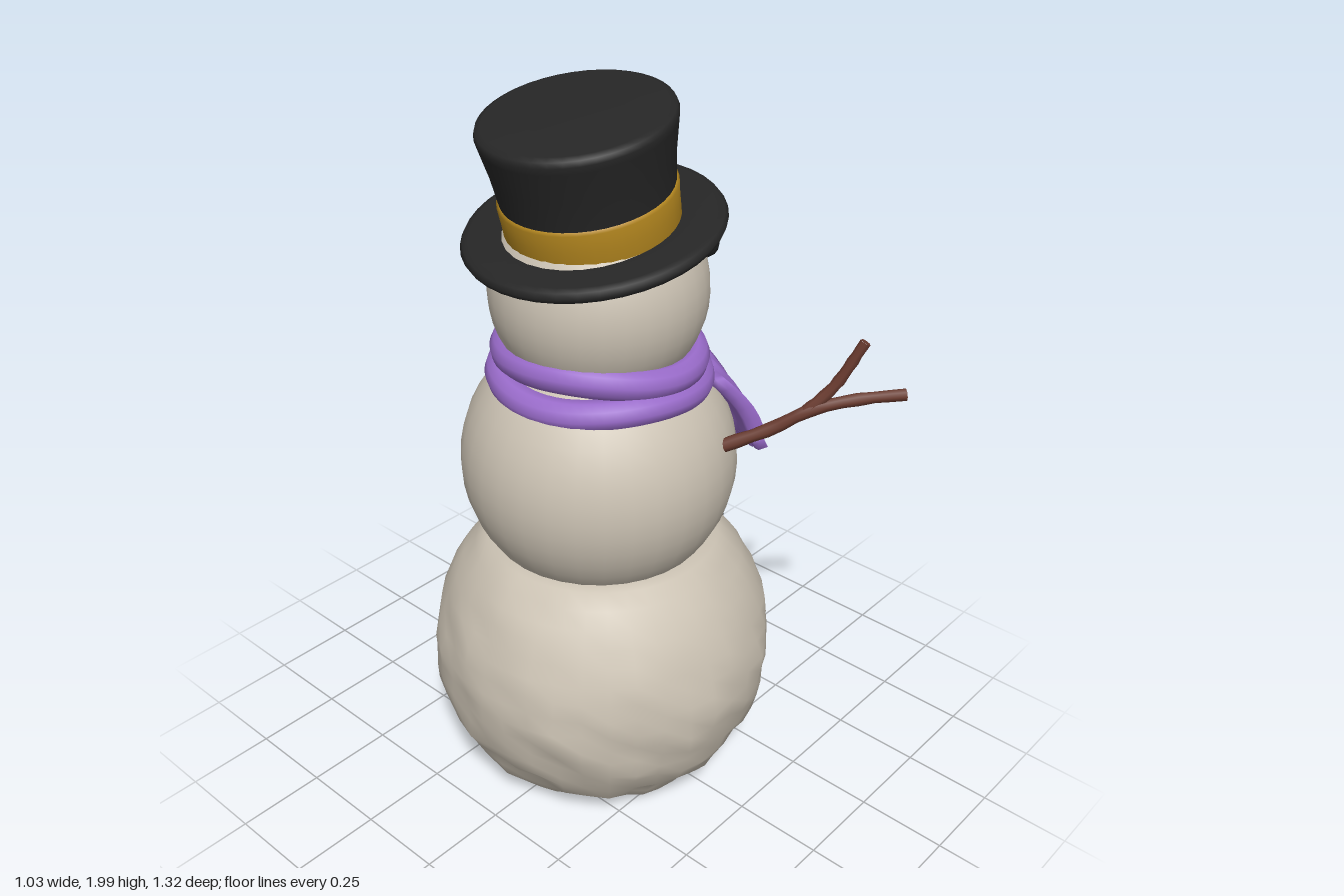
import * as THREE from 'three';
import { mergeVertices } from 'three/addons/utils/BufferGeometryUtils.js';

const V = (x, y, z) => new THREE.Vector3(x, y, z);
const mat = (name, color, side = THREE.FrontSide) => {
  const m = new THREE.MeshStandardMaterial({ color, side });
  m.name = name;
  return m;
};

export function createModel() {
  const model = new THREE.Group();
  model.name = 'snowman';
  const snow = mat('snow', 0xcbc2b3);
  const black = mat('hatFelt', 0x262626);
  const coal = mat('coal', 0x222323);
  const gold = mat('goldBand', 0xb88a20, THREE.DoubleSide);
  const purple = mat('scarfWool', 0x9a6ccb);
  const orange = mat('carrot', 0xe8711f);
  const bark = mat('bark', 0x693a2e);

  const add = (name, geometry, material, parent = model) => {
    const mesh = new THREE.Mesh(geometry, material);
    mesh.name = name;
    parent.add(mesh);
    return mesh;
  };

  // Apply a rule to every vertex, weld the seams and smooth the result
  const reshape = (geometry, rule) => {
    geometry.deleteAttribute('uv');
    geometry.deleteAttribute('normal');
    const g = mergeVertices(geometry, 1e-4);
    const p = g.attributes.position;
    const v = V(0, 0, 0);
    for (let i = 0; i < p.count; i++) {
      v.fromBufferAttribute(p, i);
      rule(v);
      p.setXYZ(i, v.x, v.y, v.z);
    }
    g.computeVertexNormals();
    return g;
  };

  // Snowballs: the lowest is lumpy and pressed flat above and below
  const lump = (v) =>
    Math.sin(v.x * 23 + 2 * Math.sin(v.y * 17)) * Math.sin(v.y * 27 + v.z * 9) * 0.6 +
    Math.sin(v.z * 31 + v.x * 14 + 1) * Math.sin(v.y * 21 - v.x * 19) * 0.4;
  const base = reshape(new THREE.SphereGeometry(0.483, 40, 30), (v) => {
    const rough = 0.006 + 0.012 * THREE.MathUtils.smoothstep(-v.y, -0.35, 0.2);
    v.multiplyScalar(1 + (rough * lump(v)) / 0.483);
    v.y = THREE.MathUtils.clamp(v.y, -0.395, 0.365);
  });
  add('bottomSnowball', base, snow).position.set(-0.03, 0.395, -0.015);
  add('middleSnowball', new THREE.SphereGeometry(0.375, 32, 24), snow).position.set(-0.035, 0.99, -0.02);
  add('head', new THREE.SphereGeometry(0.285, 32, 24), snow).position.set(-0.033, 1.48, -0.02);

  // Tilted top hat
  const hat = new THREE.Group();
  hat.name = 'hat';
  hat.position.set(-0.05, 1.645, -0.02);
  hat.rotation.z = 0.2;
  model.add(hat);
  const lathe = (points, sides) => new THREE.LatheGeometry(points.map(([x, y]) => new THREE.Vector2(x, y)), sides);
  add('hatBrim', lathe([[0, -0.018], [0.2, -0.02], [0.31, -0.018], [0.33, -0.01], [0.336, 0.003],
    [0.328, 0.016], [0.31, 0.02], [0.2, 0.018], [0, 0.018]], 40), black, hat);
  add('hatCrown', lathe([[0.214, 0], [0.215, 0.05], [0.219, 0.11], [0.228, 0.19], [0.243, 0.272],
    [0.246, 0.29], [0.241, 0.303], [0.225, 0.309], [0.12, 0.311], [0, 0.311]], 40), black, hat);
  add('hatBand', lathe([[0.217, 0.012], [0.222, 0.018], [0.223, 0.06], [0.226, 0.105], [0.219, 0.112]], 40), gold, hat);

  // Eyes
  for (const z of [0.108, -0.128]) {
    const eye = add('eye', new THREE.SphereGeometry(0.042, 10, 8), coal);
    eye.position.set(0.232, 1.557, z);
    eye.scale.x = 0.9;
  }

  // Carrot nose with a gentle upward bend
  const carrot = lathe([[0, -0.06], [0.034, -0.05], [0.037, 0], [0.034, 0.06], [0.029, 0.11],
    [0.022, 0.16], [0.017, 0.19], [0.009, 0.204], [0, 0.207]], 14);
  const nose = add('carrotNose', reshape(carrot, (v) => {
    v.x -= 0.5 * v.y * v.y;
    v.x += 0.002 * Math.sin(v.y * 70);
  }), orange);
  nose.position.set(0.245, 1.492, -0.01);
  nose.rotation.z = -Math.PI / 2 + 0.05;

  // Dimpled coal buttons, each tipped to follow the snow
  const lumpOfCoal = lathe([[0, -0.036], [0.036, -0.035], [0.052, -0.022], [0.055, 0.012],
    [0.046, 0.031], [0.03, 0.033], [0.021, 0.02], [0, 0.016]], 10);
  for (const [x, y, tilt] of [[0.332, 1.12, 0.4], [0.37, 0.957, 0.05], [0.445, 0.573, 0.38], [0.483, 0.36, 0]]) {
    const button = add('coalButton', lumpOfCoal, coal);
    button.position.set(x, y, -0.016);
    button.rotation.z = -Math.PI / 2 + tilt;
  }

  // Scarf: two slightly uneven coils
  const coil = (name, y, rx, rz, tilt, phase) => {
    const points = [];
    for (let i = 0; i < 16; i++) {
      const a = (i / 16) * Math.PI * 2;
      points.push(V(-0.03 + rx * Math.cos(a), y - tilt * Math.cos(a) + 0.007 * Math.sin(3 * a + phase), -0.02 + rz * Math.sin(a)));
    }
    add(name, new THREE.TubeGeometry(new THREE.CatmullRomCurve3(points, true), 64, 0.041, 10, true), purple);
  };
  coil('scarfUpperCoil', 1.308, 0.242, 0.25, 0.02, 0);
  coil('scarfLowerCoil', 1.243, 0.26, 0.263, 0.002, 2);

  // Scarf end: a box bent onto a four-cornered patch; u runs across, t runs down
  const corners = [V(0.13, 1.235, 0.24), V(0.25, 1.24, 0.075), V(0.252, 1.03, 0.3), V(0.34, 0.988, 0.158)];
  const out = V(0.8, 0.25, 0.6).normalize();
  const patch = (u, t, depth) =>
    corners[0].clone().lerp(corners[1], u)
      .lerp(corners[2].clone().lerp(corners[3], u), t)
      .addScaledVector(out, depth + 0.02 * Math.sin(Math.PI * Math.min(t, 1)));
  add('scarfEnd', reshape(new THREE.BoxGeometry(1, 1, 1, 10, 6, 2), (v) => {
    const u = v.x + 0.5;
    const fold = 0.005 * Math.cos(u * Math.PI * 4);
    v.copy(patch(u, 0.5 - v.y, v.z * 0.042 + fold));
  }), purple);
  for (let i = 0; i < 4; i++) {
    add('scarfTassel', reshape(new THREE.BoxGeometry(1, 1, 1, 2, 2, 2), (v) => {
      const t = 0.5 - v.y;
      v.copy(patch(0.125 + i * 0.25 + v.x * (0.2 - 0.06 * t), 0.96 + t * 0.2, v.z * (0.036 - 0.008 * t)));
    }), purple);
  }

  // Forked twig arms: tapered tubes with closed ends
  const twig = (name, points, r0, r1, parent) => {
    const curve = new THREE.CatmullRomCurve3(points);
    const steps = 12, sides = 8;
    const tube = new THREE.TubeGeometry(curve, steps, 1, sides, false);
    const p = tube.attributes.position;
    for (let i = 0; i <= steps; i++) {
      const c = curve.getPointAt(i / steps);
      const r = THREE.MathUtils.lerp(r0, r1, i / steps) * (1 + 0.08 * Math.sin(i * 2.3));
      for (let j = 0; j <= sides; j++) {
        const k = i * (sides + 1) + j;
        const v = V(0, 0, 0).fromBufferAttribute(p, k).sub(c).multiplyScalar(r).add(c);
        p.setXYZ(k, v.x, v.y, v.z);
      }
    }
    add(name, tube, bark, parent);
    for (const [t, r, s] of [[0, r0, -1], [1, r1, 1]]) {
      const cap = add(name + 'End', new THREE.CircleGeometry(r, sides), bark, parent);
      cap.position.copy(curve.getPointAt(t));
      cap.quaternion.setFromUnitVectors(V(0, 0, 1), curve.getTangentAt(t).multiplyScalar(s));
    }
  };
  const arm = (name, start, fork, up, tip) => {
    const g = new THREE.Group();
    g.name = name;
    model.add(g);
    const bend = start.clone().lerp(fork, 0.55).add(V(0, -0.008, 0));
    const elbow = fork.clone().lerp(tip, 0.5).add(V(0, 0.008, 0));
    twig('armBranch', [start, bend, fork, elbow, tip], 0.019, 0.016, g);
    twig('armTwig', [fork.clone().lerp(start, 0.08), fork.clone().lerp(up, 0.4).add(V(0.006, -0.012, 0)), up], 0.017, 0.014, g);
  };
  arm('leftTwigArm', V(0.11, 1.075, -0.345), V(0.24, 1.185, -0.495), V(0.35, 1.39, -0.58), V(0.42, 1.255, -0.65));
  arm('rightTwigArm', V(0.08, 1.09, 0.31), V(0.22, 1.205, 0.485), V(0.31, 1.39, 0.568), V(0.395, 1.238, 0.65));

  return model;
}
